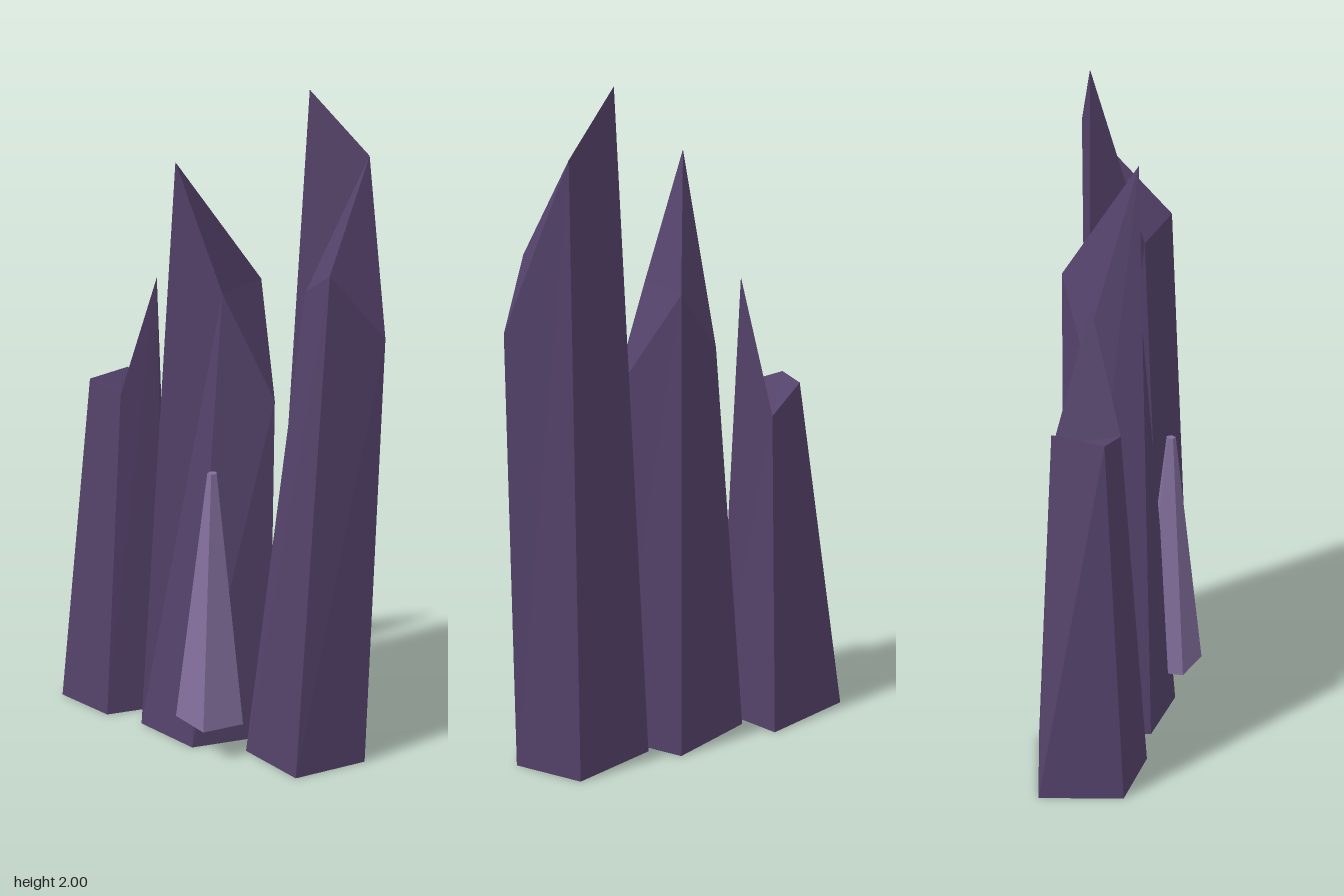
import * as THREE from 'three';

// Five-sided shard: base corners [x, z] and top corners [x, y, z], both clockwise from above
function shardGeometry(base, top) {
  const b = base.map(([x, z]) => [x, 0, z]);
  const n = b.length, pos = [];
  const tri = (p, q, r) => pos.push(...p, ...q, ...r);
  for (let i = 0; i < n; i++) {
    const j = (i + 1) % n;
    tri(b[j], b[i], top[i]);
    tri(b[j], top[i], top[j]);
  }
  for (let k = 1; k < n - 1; k++) {
    tri(b[0], b[k], b[k + 1]); // underside
    tri(top[1], top[(k + 2) % n], top[k + 1]); // broken top, fanned from its back corner
  }
  const g = new THREE.BufferGeometry();
  g.setAttribute('position', new THREE.Float32BufferAttribute(pos, 3));
  g.computeVertexNormals();
  return g;
}

export function createModel() {
  const group = new THREE.Group();
  const darkCrystal = new THREE.MeshStandardMaterial({ color: 0x54426a, flatShading: true });
  darkCrystal.name = 'dark purple crystal';
  const paleCrystal = new THREE.MeshStandardMaterial({ color: 0x836f9c, flatShading: true });
  paleCrystal.name = 'pale purple crystal';

  const add = (name, geometry, material) => {
    const mesh = new THREE.Mesh(geometry, material);
    mesh.name = name;
    group.add(mesh);
    return mesh;
  };

  // Three large shards
  add('shortShard', shardGeometry(
    [[-0.55, -0.15], [-0.255, -0.228], [-0.165, -0.02], [-0.295, 0.128], [-0.5, 0.098]],
    [[-0.372, 1.105, -0.134], [-0.263, 1.02, -0.16], [-0.206, 1.43, -0.057],
      [-0.277, 1.075, 0.043], [-0.406, 1.1, 0.025]]), darkCrystal);

  add('middleShard', shardGeometry(
    [[-0.19, -0.134], [0.076, -0.228], [0.22, -0.035], [0.05, 0.155], [-0.168, 0.116]],
    [[-0.097, 1.24, -0.107], [0.07, 1.43, -0.21], [0.212, 1.11, -0.05],
      [0.072, 1.43, 0.02], [-0.067, 1.8, 0.05]]), darkCrystal);

  add('tallShard', shardGeometry(
    [[0.153, -0.157], [0.41, -0.228], [0.545, -0.055], [0.41, 0.14], [0.203, 0.083]],
    [[0.247, 2.0, -0.16], [0.408, 1.82, -0.225], [0.548, 1.34, -0.075],
      [0.435, 1.53, 0.055], [0.327, 1.46, -0.01]]), darkCrystal);

  // Small pale spike in front
  const spike = add('smallSpike',
    new THREE.CylinderGeometry(0.015, 0.112, 0.8, 5, 1, false, Math.PI / 2), paleCrystal);
  spike.position.set(0.101, 0.515, 0.12);

  return group;
}
